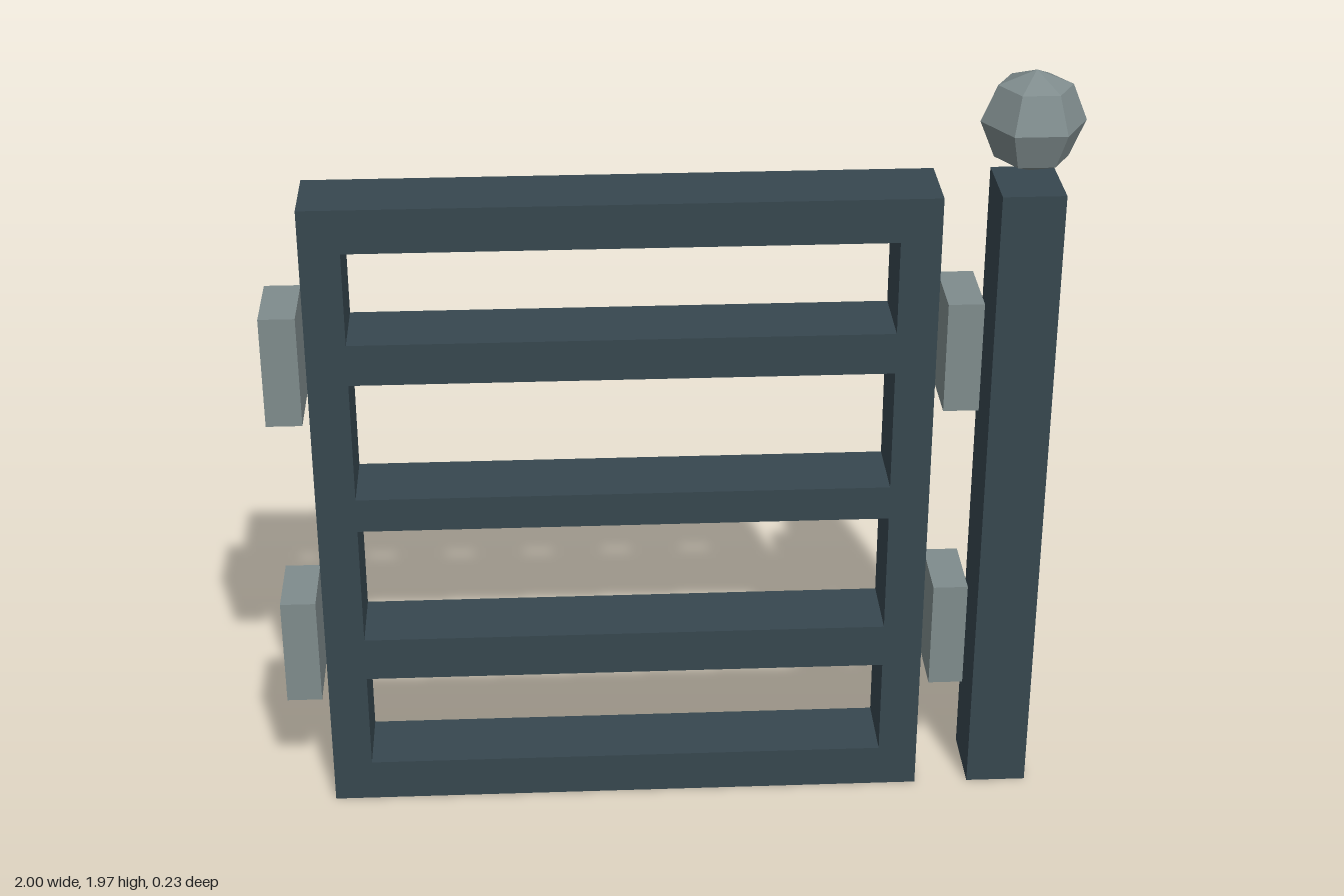
import * as THREE from 'three';

const dark = new THREE.MeshStandardMaterial({ color: 0x37474f, flatShading: true });
const steel = new THREE.MeshStandardMaterial({ color: 0x7f8c8d, flatShading: true });

// Box given by its extents on each axis
function box(name, material, [x0, x1], [y0, y1], [z0, z1]) {
  const mesh = new THREE.Mesh(new THREE.BoxGeometry(x1 - x0, y1 - y0, z1 - z0), material);
  mesh.position.set((x0 + x1) / 2, (y0 + y1) / 2, (z0 + z1) / 2);
  mesh.name = name;
  return mesh;
}

// Rectangle outline for a shape or a hole
function rect(path, x0, x1, y0, y1) {
  path.moveTo(x0, y0);
  path.lineTo(x1, y0);
  path.lineTo(x1, y1);
  path.lineTo(x0, y1);
  path.closePath();
  return path;
}

export function createModel() {
  const group = new THREE.Group();
  group.name = 'gate';
  const halfDepth = 0.096;

  // Gate panel: one slab with four openings between the rails
  const outline = rect(new THREE.Shape(), -0.89, 0.65, 0, 1.685);
  for (const [y0, y1] of [[0.112, 0.373], [0.49, 0.812], [0.902, 1.222], [1.33, 1.572]]) {
    outline.holes.push(rect(new THREE.Path(), -0.79, 0.55, y0, y1));
  }
  const panelGeometry = new THREE.ExtrudeGeometry(outline, { depth: 2 * halfDepth, bevelEnabled: false });
  panelGeometry.translate(0, 0, -halfDepth);
  const panel = new THREE.Mesh(panelGeometry, dark);
  panel.name = 'gatePanel';
  group.add(panel);

  // Post beside the panel
  group.add(box('post', dark, [0.79, 0.945], [0, 1.685], [-halfDepth, halfDepth]));

  // Faceted ball above the post
  const ball = new THREE.Mesh(new THREE.SphereGeometry(0.128, 6, 4), steel);
  ball.position.set(0.87, 1.842, 0);
  ball.name = 'postBall';
  group.add(ball);

  // Hinge blocks, two on each side of the panel, set slightly to the back
  for (const [side, x] of [['right', [-1, -0.91]], ['left', [0.677, 0.766]]]) {
    for (const [level, y] of [['Lower', [0.302, 0.592]], ['Upper', [1.105, 1.396]]]) {
      group.add(box(`${side}${level}Hinge`, steel, x, y, [-0.12, 0.077]));
    }
  }
  return group;
}
